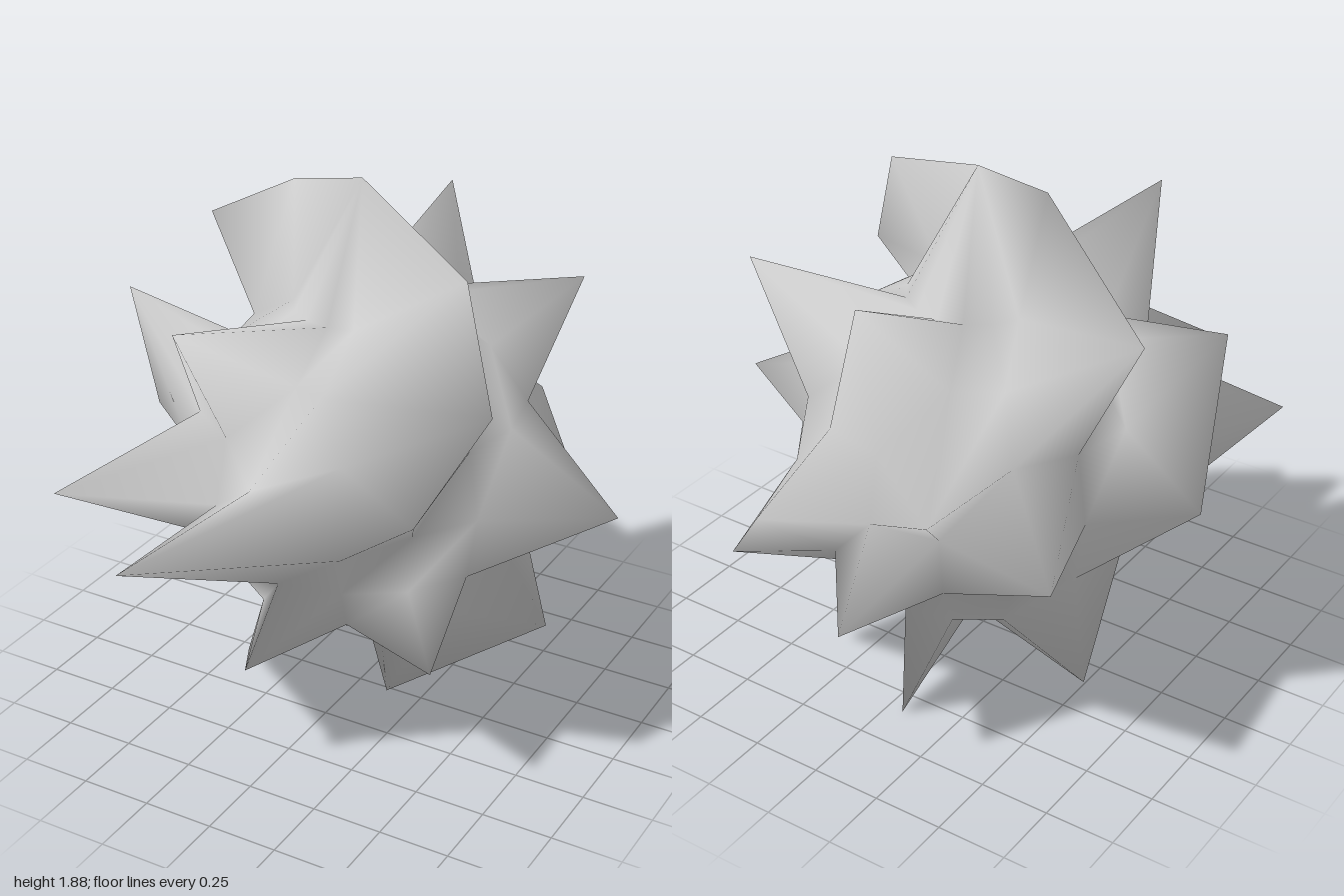
import * as THREE from 'three';

const CENTRE = new THREE.Vector3(-0.06, 0.86, -0.12);
const RADIUS = 0.62, SEGMENTS = 16, RINGS = 8;

// pulled-out vertices: [ring from the top, segment from +x towards +z, x, y, z]
const SPIKES = [
  [0, 0, -0.06, 1.88, -0.12],
  // upper rings
  [1, 2, 0.45, 1.7, 0.11], [1, 8, -0.31, 1.84, -0.1],
  [2, 2, 0.61, 1.31, 0.23], [2, 3, 0.16, 1.4, 0.53], [2, 5, -0.28, 1.58, 0.69],
  [2, 9, -0.81, 1.55, -0.34], [2, 12, -0.07, 1.66, -0.79], [2, 14, 0.59, 1.53, -0.49],
  [3, 2, 0.53, 1.07, 0.6], [3, 4, -0.01, 1.1, 0.69], [3, 7, -0.86, 1.41, 0.11],
  [3, 11, -0.42, 1.08, -0.93],
  // equator
  [4, 0, 0.91, 0.86, -0.13], [4, 3, 0.25, 0.86, 0.57], [4, 4, -0.32, 0.86, 1],
  [4, 6, -0.82, 0.86, 0.66], [4, 8, -0.91, 0.86, -0.1], [4, 10, -0.75, 0.86, -0.75],
  [4, 13, 0.26, 0.86, -0.92],
  // lower rings
  [5, 12, -0.12, 0.6, -1], [5, 14, 0.56, 0.5, -0.71],
  [6, 0, 0.69, 0.4, -0.08], [6, 2, 0.55, 0.49, 0.51], [6, 4, -0.06, 0.4, 0.67],
  [6, 9, -0.61, 0.18, -0.3],
  [7, 1, 0.17, 0.07, 0.11], [7, 5, -0.41, 0.06, 0.11], [7, 12, -0.06, 0, -0.59],
];

// ball of rings and segments with one vertex at each pole
function spikyBall() {
  const id = (ring, seg) => {
    if (ring === 0) return 0;
    if (ring === RINGS) return 1;
    return 2 + (ring - 1) * SEGMENTS + (seg % SEGMENTS);
  };
  const verts = [];
  for (let r = 0; r <= RINGS; r++) {
    for (let s = 0; s < SEGMENTS; s++) {
      const polar = (r / RINGS) * Math.PI;
      const turn = Math.PI / 2 - (s / SEGMENTS) * Math.PI * 2;
      verts[id(r, s)] = new THREE.Vector3()
        .setFromSphericalCoords(RADIUS, polar, turn).add(CENTRE);
    }
  }
  SPIKES.forEach(([r, s, ...p]) => verts[id(r, s)].set(...p));

  const index = [];
  for (let r = 0; r < RINGS; r++) {
    for (let s = 0; s < SEGMENTS; s++) {
      const a = id(r, s), b = id(r, s + 1), c = id(r + 1, s + 1), d = id(r + 1, s);
      if (r > 0) index.push(a, b, c);
      if (r < RINGS - 1) index.push(a, c, d);
    }
  }

  const geo = new THREE.BufferGeometry().setFromPoints(verts);
  // segments run from +x to +z, so each corner order is turned to face outwards
  for (let i = 0; i < index.length; i += 3) {
    const [a, b, c] = index.slice(i, i + 3);
    index.splice(i, 3, a, c, b);
  }
  geo.setIndex(index);
  geo.computeVertexNormals();
  return geo;
}

export function createModel() {
  const group = new THREE.Group();
  group.name = 'spikyBall';
  const mesh = new THREE.Mesh(
    spikyBall(),
    new THREE.MeshStandardMaterial({ color: 0xcccccc, side: THREE.DoubleSide }),
  );
  mesh.name = 'spikedShell';
  group.add(mesh);
  return group;
}
